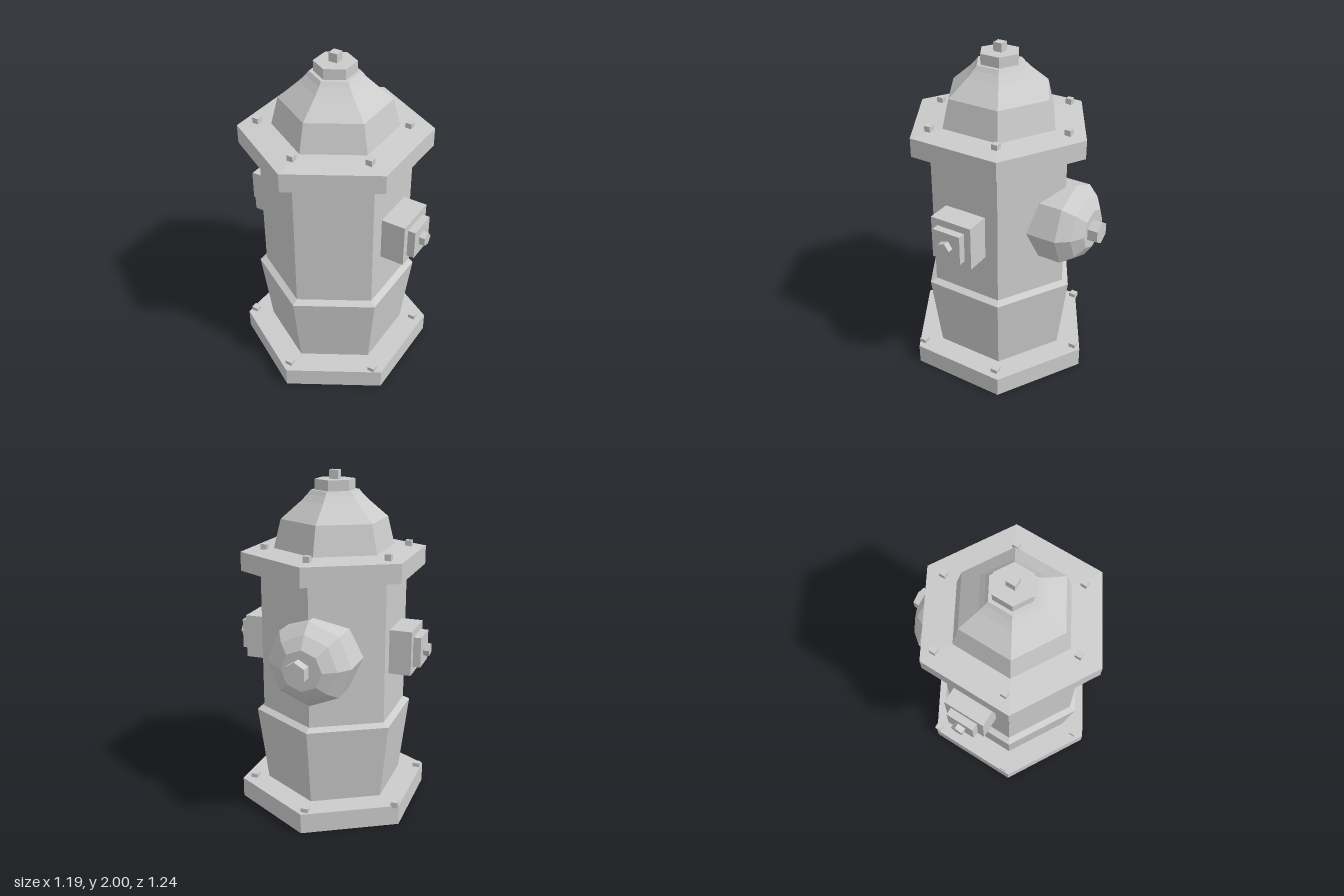
import * as THREE from 'three';

const material = new THREE.MeshStandardMaterial({ color: 0xcccccc, flatShading: true });
const AXIS_X = -0.01, AXIS_Z = 0.043;

function add(parent, name, geometry, x = 0, y = 0, z = 0) {
  const mesh = new THREE.Mesh(geometry, material);
  mesh.name = name;
  mesh.position.set(x, y, z);
  parent.add(mesh);
  return mesh;
}

// Faceted solid from [radius, height] pairs, bottom to top
function turned(profile, sides) {
  return new THREE.LatheGeometry(profile.map(([r, y]) => new THREE.Vector2(r, y)), sides);
}

export function createModel() {
  const model = new THREE.Group();
  model.name = 'fireHydrant';

  // Hexagonal main column, a corner facing front and back
  const column = {
    basePlate: [[0, 0], [0.578, 0], [0.578, 0.12], [0, 0.12]],
    skirt: [[0.416, 0.12], [0.476, 0.58], [0.435, 0.6]],
    barrel: [[0.435, 0.6], [0.435, 1.44]],
    flange: [[0, 1.44], [0.547, 1.44], [0.547, 1.55], [0.355, 1.565]],
    dome: [[0.355, 1.565], [0.313, 1.73], [0.195, 1.83], [0.16, 1.865], [0.14, 1.89], [0, 1.89]],
    cap: [[0.118, 1.885], [0.118, 1.95], [0, 1.95]],
  };
  for (const [name, profile] of Object.entries(column)) {
    add(model, name, turned(profile, 6), AXIS_X, 0, AXIS_Z);
  }
  add(model, 'topNut', new THREE.BoxGeometry(0.053, 0.06, 0.053), AXIS_X, 1.97, 0.041);

  // Bolts on the flange and on the base plate
  const flangeBolts = [[-0.01, -0.395], [0.345, -0.155], [0.345, 0.275], [-0.02, 0.455], [-0.4, 0.24], [-0.4, -0.195]];
  for (const [x, z] of flangeBolts) {
    add(model, 'flangeBolt', new THREE.BoxGeometry(0.037, 0.045, 0.037), x, 1.568, z);
  }
  const baseBolts = [[-0.02, -0.485], [0.43, -0.195], [0.43, 0.335], [-0.025, 0.555], [-0.485, 0.285], [-0.485, -0.245]];
  for (const [x, z] of baseBolts) {
    add(model, 'baseBolt', new THREE.BoxGeometry(0.042, 0.035, 0.042), x, 0.1275, z);
  }

  // Stepped square outlets on both sides, each with a five-sided nut
  for (const side of [1, -1]) {
    const outlet = new THREE.Group();
    outlet.name = side > 0 ? 'leftOutlet' : 'rightOutlet';
    outlet.position.set(-0.003, 1.003, 0.037);
    add(outlet, 'outletBlock', new THREE.BoxGeometry(0.18, 0.26, 0.26), side * 0.423);
    add(outlet, 'outletCap', new THREE.BoxGeometry(0.06, 0.176, 0.176), side * 0.528);
    const nut = add(outlet, 'outletNut', new THREE.CylinderGeometry(0.041, 0.041, 0.05, 5).rotateY(Math.PI), side * 0.568);
    nut.rotation.z = -side * Math.PI / 2;
    model.add(outlet);
  }

  // Large domed outlet at the back
  const backOutlet = new THREE.Group();
  backOutlet.name = 'backOutlet';
  backOutlet.position.set(-0.035, 1.003, 0);
  backOutlet.rotation.x = -Math.PI / 2;
  add(backOutlet, 'backBonnet', turned([[0.245, 0.18], [0.245, 0.445], [0.19, 0.515], [0.118, 0.562], [0, 0.562]], 8));
  add(backOutlet, 'backNut', new THREE.CylinderGeometry(0.066, 0.066, 0.07, 6), 0.015, 0.587, 0);
  model.add(backOutlet);

  return model;
}
